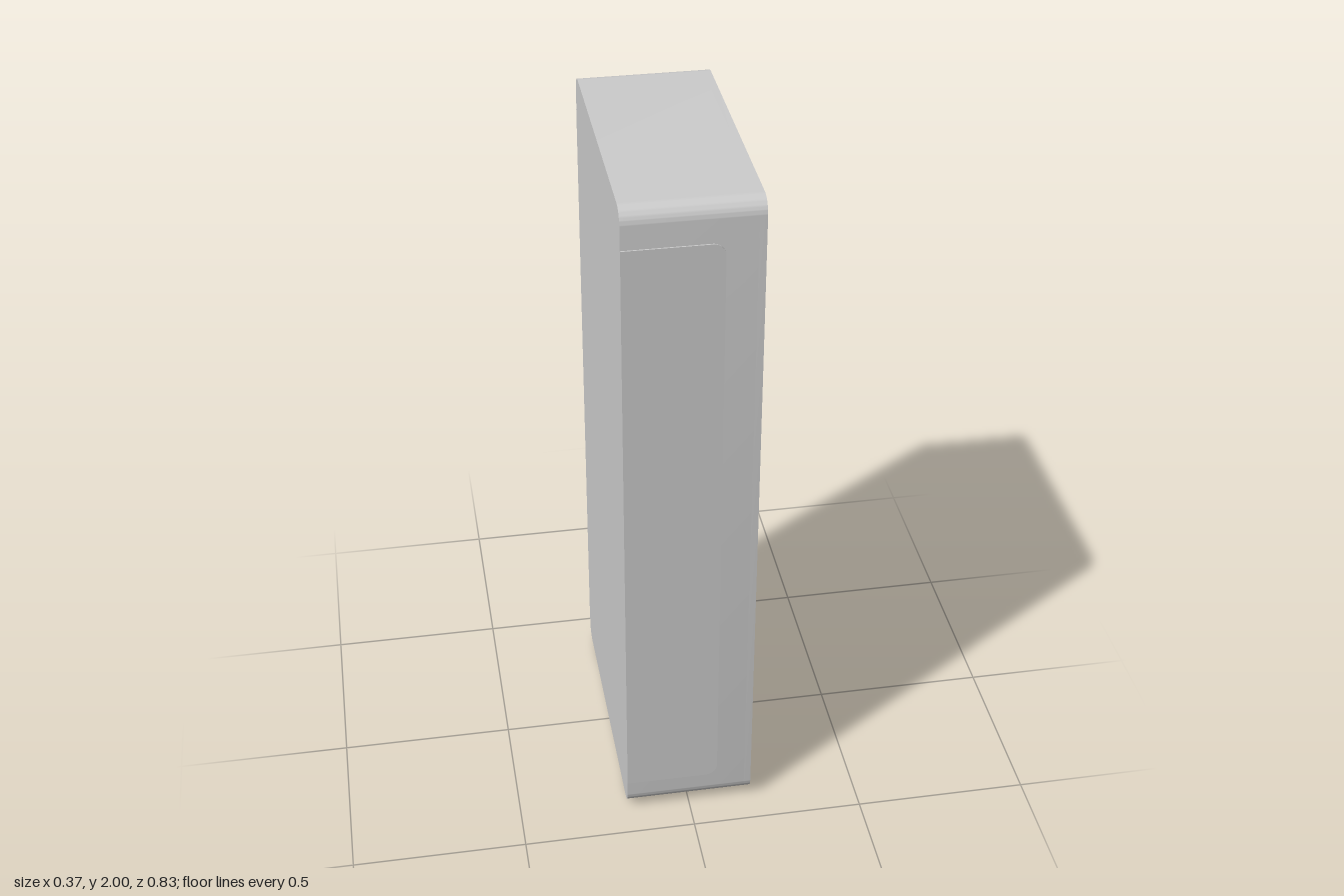
import * as THREE from 'three';
import { toCreasedNormals } from 'three/addons/utils/BufferGeometryUtils.js';

const material = new THREE.MeshStandardMaterial({ color: 0xcccccc });

// Rectangle with separate corner radii on its low-x and high-x sides
function outline(x0, x1, y0, y1, rLow, rHigh, Type = THREE.Shape) {
  const s = new Type();
  s.moveTo(x0 + rLow, y0);
  s.lineTo(x1 - rHigh, y0);
  if (rHigh) s.absarc(x1 - rHigh, y0 + rHigh, rHigh, -Math.PI / 2, 0);
  s.lineTo(x1, y1 - rHigh);
  if (rHigh) s.absarc(x1 - rHigh, y1 - rHigh, rHigh, 0, Math.PI / 2);
  s.lineTo(x0 + rLow, y1);
  if (rLow) s.absarc(x0 + rLow, y1 - rLow, rLow, Math.PI / 2, Math.PI);
  s.lineTo(x0, y0 + rLow);
  if (rLow) s.absarc(x0 + rLow, y0 + rLow, rLow, Math.PI, Math.PI * 1.5);
  return s;
}

function extrude(shape, depth) {
  const g = new THREE.ExtrudeGeometry(shape, { depth, bevelEnabled: false, curveSegments: 12 });
  return toCreasedNormals(g, 0.6);
}

// Extrudes a shape drawn in (-z, y) along x, from x0 to x1
function alongX(shape, x0, x1) {
  return extrude(shape, x1 - x0).rotateY(Math.PI / 2).translate(x0, 0, 0);
}

export function createModel() {
  const model = new THREE.Group();
  const add = (name, geometry) => {
    const mesh = new THREE.Mesh(geometry, material);
    mesh.name = name;
    model.add(mesh);
  };

  const W = 0.409, X = 0.185, Y0 = 0.02, Y1 = 2, R = 0.045, rim = 0.011;
  const seam = 0.165;

  // Rounded carcass and the thin rim that frames the doors
  add('carcass', alongX(outline(-W, W, Y0, Y1, R, R), -X, seam));
  const rimShape = outline(-W, W, Y0, Y1, R, R);
  rimShape.holes.push(outline(-W + rim, W - rim, Y0 + rim, Y1 - rim, R - rim, R - rim, THREE.Path));
  add('doorRim', alongX(rimShape, seam, X));

  for (const side of [-1, 1]) {
    const label = side < 0 ? 'left' : 'right';

    // Door frame with a shallow recessed panel, rounded on its outer edge
    const gap = 0.003, edge = W - rim - 0.002, r = R - rim - 0.002;
    const low = Y0 + rim + 0.002, high = Y1 - rim - 0.002;
    const door = side > 0
      ? outline(gap, edge, low, high, 0, r)
      : outline(-edge, -gap, low, high, r, 0);
    const p0 = side > 0 ? 0.037 : -0.365, p1 = side > 0 ? 0.365 : -0.037;
    door.holes.push(outline(p0, p1, 0.06, 1.96, 0, 0, THREE.Path));
    add(label + 'DoorFrame', alongX(door, seam, X - 0.001));
    add(label + 'DoorPanel', alongX(outline(p0, p1, 0.06, 1.96, 0, 0), seam, X - 0.006));

    // Thin cover plate on the narrow side
    const plate = extrude(outline(-X, 0.082, 0.11, 1.89, 0, 0.035), 0.006);
    plate.translate(0, 0, side > 0 ? W - 0.002 : -W - 0.004);
    add(label + 'SidePlate', plate);

    // Low runner underneath
    const foot = new THREE.BoxGeometry(0.345, 0.03, 0.07);
    foot.translate(-0.003, 0.015, side * 0.307);
    add(label + 'Foot', foot);
  }
  return model;
}
